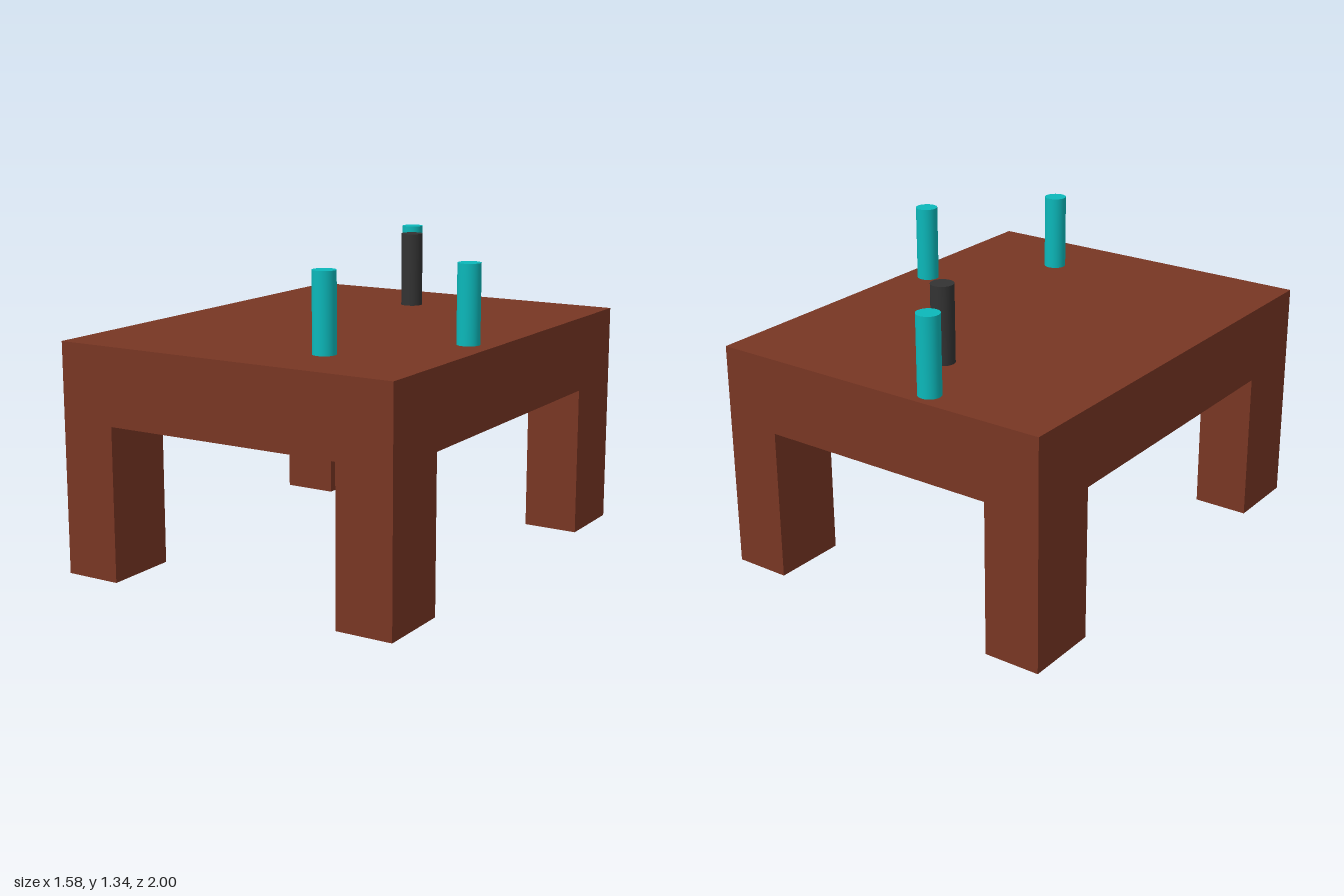
import * as THREE from 'three';

const W = 1.58, D = 2, H = 1;             // overall table size
const SLAB = 0.333;                       // tabletop thickness
const LEG_W = 0.25, LEG_D = 0.333, LEG_H = H - SLAB;
const PEG_R = 0.049, PEG_H = 0.335;

export function createModel() {
  const model = new THREE.Group();
  model.name = 'tableWithPegs';

  const wood = new THREE.MeshStandardMaterial({ color: 0x783623 });
  const teal = new THREE.MeshStandardMaterial({ color: 0x0cb8ba });
  const dark = new THREE.MeshStandardMaterial({ color: 0x333333 });

  const add = (name, geometry, material, x, y, z) => {
    const mesh = new THREE.Mesh(geometry, material);
    mesh.name = name;
    mesh.position.set(x, y, z);
    model.add(mesh);
  };

  // Thick tabletop
  add('tabletop', new THREE.BoxGeometry(W, SLAB, D), wood, 0, H - SLAB / 2, 0);

  // Four legs flush with the corners
  const leg = new THREE.BoxGeometry(LEG_W, LEG_H, LEG_D);
  for (const [side, sx] of [['Left', 1], ['Right', -1]]) {
    for (const [end, sz] of [['front', 1], ['back', -1]]) {
      add(`${end}${side}Leg`, leg, wood, sx * (W - LEG_W) / 2, LEG_H / 2, sz * (D - LEG_D) / 2);
    }
  }

  // Round pegs standing on the tabletop
  const peg = new THREE.CylinderGeometry(PEG_R, PEG_R, PEG_H, 32);
  const pegs = [
    ['tealPegBack', teal, -0.222, -0.917],
    ['darkPeg', dark, -0.053, -0.615],
    ['tealPegMiddle', teal, 0.671, 0.193],
    ['tealPegFront', teal, 0.29, 0.682],
  ];
  for (const [name, material, x, z] of pegs) add(name, peg, material, x, H + PEG_H / 2, z);

  return model;
}
